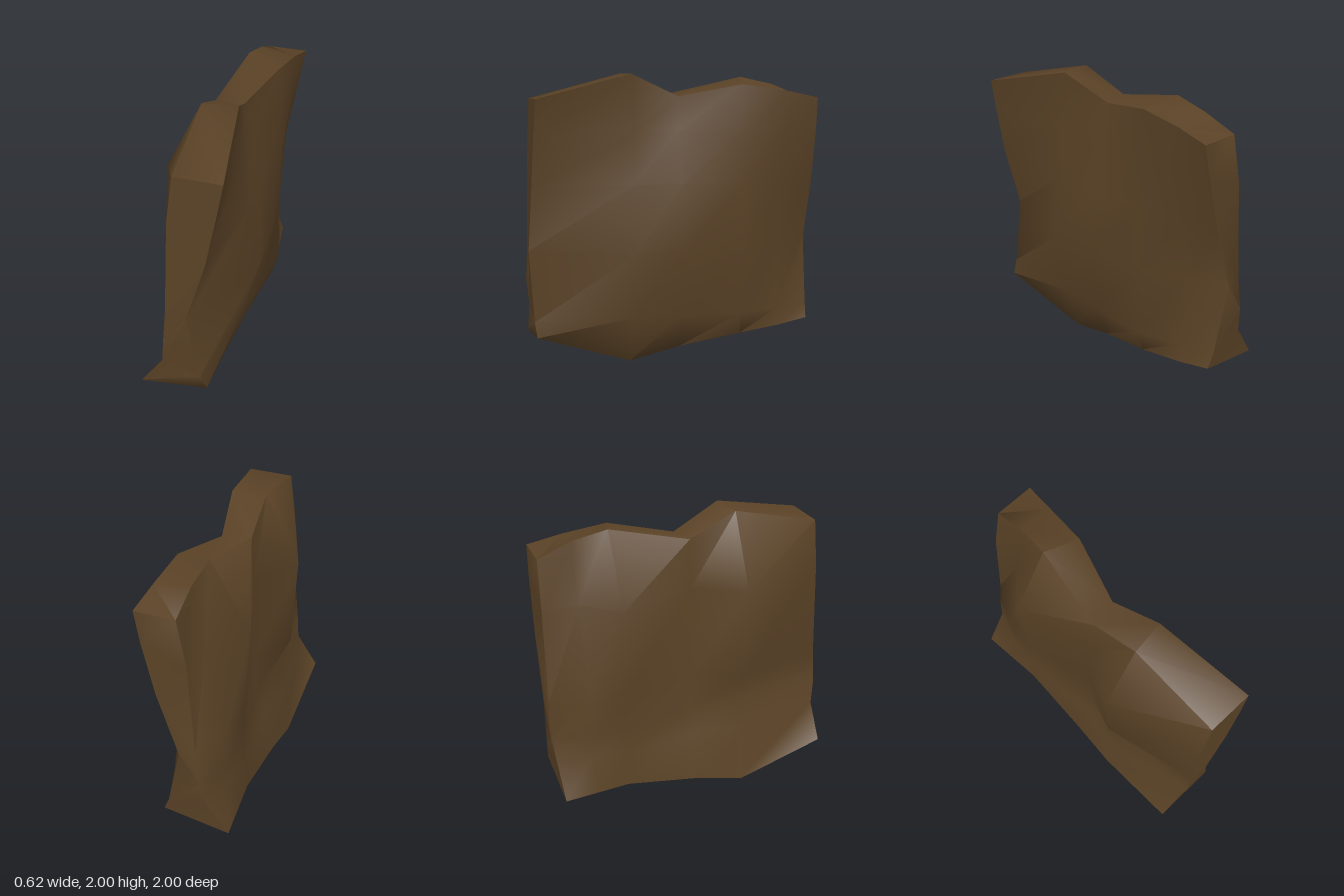
import * as THREE from 'three';
import { toCreasedNormals } from 'three/addons/utils/BufferGeometryUtils.js';

export function createModel() {
  const brown = new THREE.MeshStandardMaterial({ color: 0x5a4226 });
  brown.name = 'darkBrown';

  // Columns run front to back; rows run from the bottom edge to the top edge.
  const bow = [0, 0.01, 0.03, 0.02, 0.01, 0];
  const right = {
    z: [0.97, 0.32, -0.02, -0.44, -0.74, -0.97],
    x: [
      [0.15, 0.08, 0.13, 0.20, 0.18, 0.15],
      [0.11, 0.18, 0.22, 0.25, 0.18, 0.11],
      [0.03, 0.31, 0.28, 0.24, 0.12, 0.01],
      [0.16, 0.23, 0.22, 0.24, 0.20, 0.15],
      [0.23, 0.17, 0.14, 0.23, 0.23, 0.23],
      [0.27, 0.16, 0.10, 0.22, 0.245, 0.27],
    ],
    rowY: [0, 0.36, 0.83, 1.27, 1.62, 0],
    bottomY: [0.26, 0.03, 0.12, 0.20, 0.23, 0.26],
    topY: [1.84, 2.0, 1.85, 1.93, 1.89, 1.84],
  };
  const left = {
    z: [0.97, 0.35, 0.02, -0.51, -0.74, -0.97],
    x: [
      [-0.31, -0.29, -0.28, -0.27, -0.29, -0.31],
      [-0.15, -0.27, -0.20, -0.25, -0.23, -0.15],
      [-0.13, -0.17, -0.14, -0.24, -0.22, -0.13],
      [-0.11, -0.28, -0.12, -0.24, -0.21, -0.10],
      [-0.08, -0.31, -0.11, -0.285, -0.08, -0.06],
      [-0.04, -0.07, -0.09, -0.02, 0, 0.0],
    ],
    rowY: [0, 0.43, 0.61, 0.86, 1.52, 0],
    bottomY: [0.20, 0, 0.09, 0.18, 0.185, 0.19],
    topY: [1.84, 2.0, 1.86, 1.98, 1.93, 1.84],
  };

  const cols = right.z.length, rows = bow.length, ring = cols * 2;
  const points = [];
  const addPoint = (side, r, c) => {
    const y = r === 0 ? side.bottomY[c] : r === rows - 1 ? side.topY[c] : side.rowY[r];
    const push = c === 0 ? bow[r] : c === cols - 1 ? -bow[r] : 0;
    points.push(side.x[r][c], y, side.z[c] + push);
  };
  // Each closed loop goes back along the right side and forward along the left.
  for (let r = 0; r < rows; r++) {
    for (let c = 0; c < cols; c++) addPoint(right, r, c);
    for (let c = cols - 1; c >= 0; c--) addPoint(left, r, c);
  }

  const index = [];
  const quad = (a, b, c, d) => index.push(a, b, c, a, c, d);
  // Side walls
  for (let r = 0; r < rows - 1; r++) {
    for (let i = 0; i < ring; i++) {
      const j = (i + 1) % ring, low = r * ring, high = low + ring;
      quad(low + i, low + j, high + j, high + i);
    }
  }
  // Top and bottom rims
  const top = (rows - 1) * ring;
  for (let c = 0; c < cols - 1; c++) {
    const l0 = ring - 1 - c, l1 = l0 - 1;
    quad(top + c, top + c + 1, top + l1, top + l0);
    quad(c, l0, l1, c + 1);
  }

  const geometry = new THREE.BufferGeometry();
  geometry.setAttribute('position', new THREE.Float32BufferAttribute(points, 3));
  geometry.setIndex(index);

  const slab = new THREE.Mesh(toCreasedNormals(geometry, 1.2), brown);
  slab.name = 'warpedSlab';
  const group = new THREE.Group();
  group.name = 'slab';
  group.add(slab);
  return group;
}
